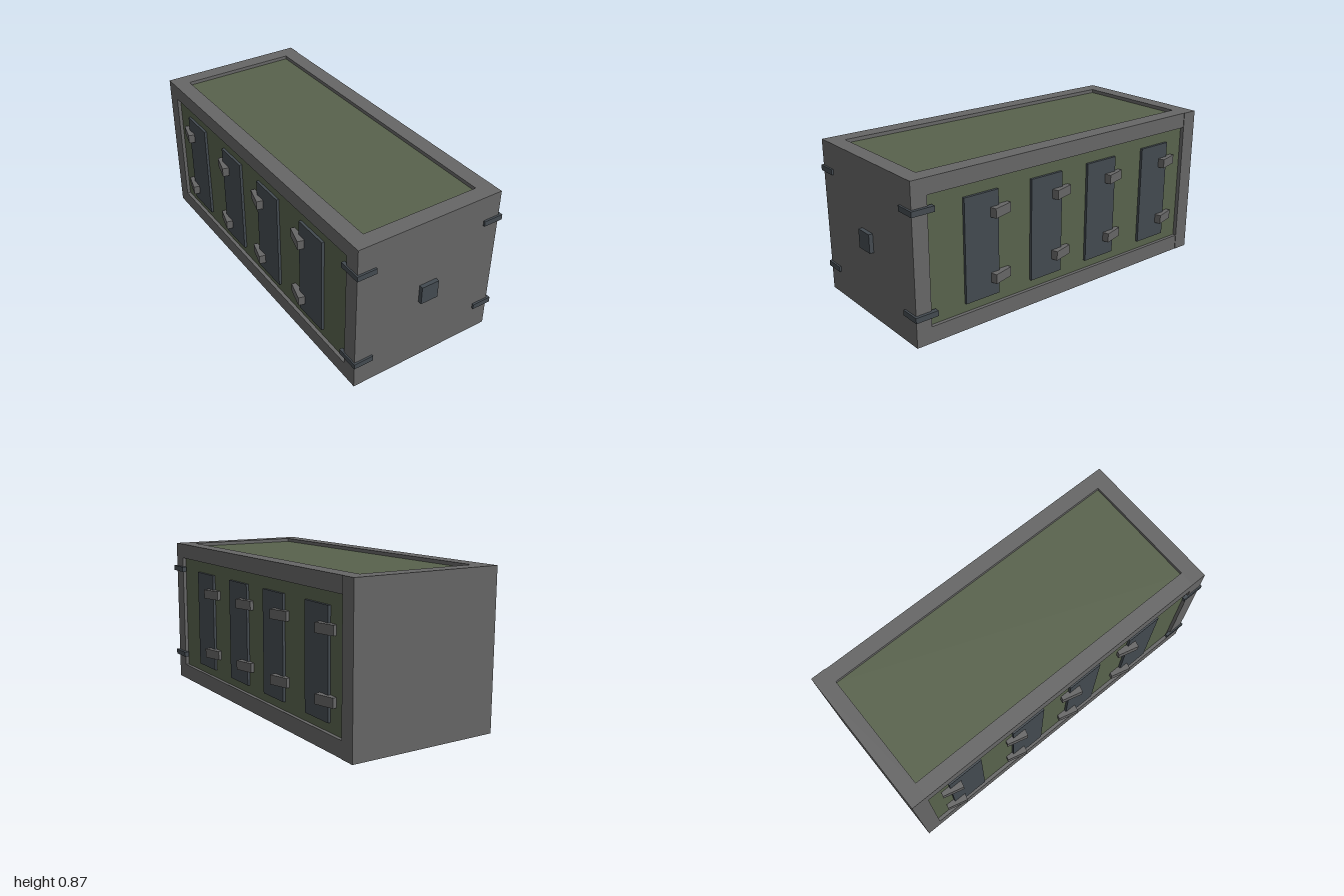
import * as THREE from 'three';

const material = (color) => new THREE.MeshStandardMaterial({ color, flatShading: true });

export function createModel() {
  const grey = material(0x666666);
  const green = material(0x58624c);
  const slate = material(0x434a50);
  const model = new THREE.Group();
  model.name = 'cargoContainer';

  // Box given by its extents on each axis
  function block(name, mat, [x0, x1], [y0, y1], [z0, z1], parent = model) {
    const mesh = new THREE.Mesh(new THREE.BoxGeometry(x1 - x0, y1 - y0, z1 - z0), mat);
    mesh.position.set((x0 + x1) / 2, (y0 + y1) / 2, (z0 + z1) / 2);
    mesh.name = name;
    parent.add(mesh);
    return mesh;
  }

  const W = 0.43, H = 0.867, backZ = -1, frontZ = 0.977;
  const railBack = -0.91, railFront = 0.888;

  // End walls
  block('frontDoor', grey, [-W, W], [0, H], [railFront, frontZ]);
  block('backWall', grey, [-W, W + 0.003], [0, H], [backZ, railBack]);

  // Long corner rails
  for (const s of [-1, 1]) {
    const x = s > 0 ? [0.34, W] : [-W, -0.34];
    block('bottomRail', grey, x, [0, 0.09], [railBack, railFront]);
    block('topRail', grey, x, [0.78, H], [railBack, railFront]);
  }

  // Recessed panels on the sides, roof and floor
  block('sidePanels', green, [-0.41, 0.41], [0.085, 0.785], [railBack, railFront]);
  block('roofPanel', green, [-0.345, 0.345], [0.78, 0.847], [railBack, railFront]);
  block('floorPanel', green, [-0.345, 0.345], [0.02, 0.09], [railBack, railFront]);

  // Side hatches with two tilted latches each
  const tilt = Math.atan2(0.03, 0.115);
  const hatches = [0.57, 0.145, -0.25, -0.675];
  const latchTips = [0.51, 0.1, -0.285, -0.72];
  for (const s of [-1, 1]) {
    const side = new THREE.Group();
    side.name = s > 0 ? 'leftHatches' : 'rightHatches';
    model.add(side);
    hatches.forEach((z, i) => {
      const x = s > 0 ? [0.4, 0.425] : [-0.425, -0.4];
      block('hatch', slate, x, [0.14, 0.712], [z - 0.105, z + 0.105], side);
      const low = s < 0 ? 0.23 : i === 0 ? 0.242 : 0.252;
      for (const y of [low, 0.601]) {
        const geo = new THREE.BoxGeometry(0.036, 0.052, 0.12);
        geo.translate(-0.018, 0, -0.06); // pivot on the outer front edge
        if (s < 0) geo.translate(0.036, 0, 0);
        const latch = new THREE.Mesh(geo, grey);
        latch.name = 'latch';
        latch.position.set(s * 0.462, y, latchTips[i]);
        latch.rotation.y = s * tilt;
        side.add(latch);
      }
    });
  }

  // Hinge straps wrapped around the front corners
  for (const s of [-1, 1]) {
    const outer = s > 0 ? 0.447 : 0.438;
    const inner = s > 0 ? 0.333 : 0.325;
    for (const y of [s > 0 ? 0.162 : 0.15, 0.71]) {
      const ys = [y - 0.015, y + 0.015];
      const span = (a, b) => (s > 0 ? [a, b] : [-b, -a]);
      block('hingeFront', slate, span(inner, outer), ys, [0.965, 0.988]);
      block('hingeSide', slate, span(0.42, outer), ys, [0.858, 0.965]);
    }
  }

  // Square lock on the front
  block('lock', slate, [-0.05, 0.054], [0.381, 0.485], [0.965, 1]);

  return model;
}
